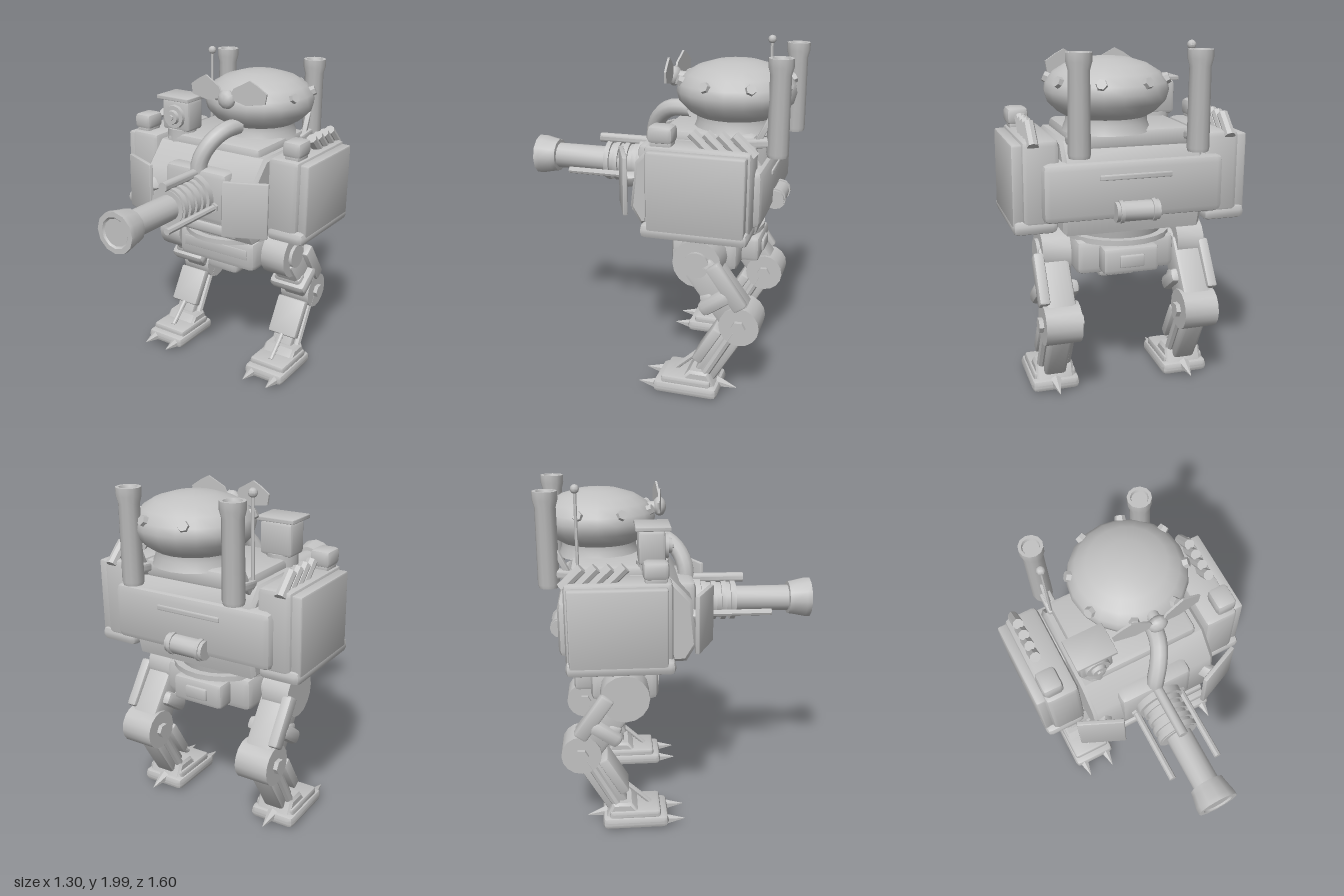
import * as THREE from 'three';
import { toCreasedNormals } from 'three/addons/utils/BufferGeometryUtils.js';
import { RoundedBoxGeometry } from 'three/addons/geometries/RoundedBoxGeometry.js';

const steel = new THREE.MeshStandardMaterial({ color: 0xc2c2c2 });
steel.name = 'steel';
const UP = new THREE.Vector3(0, 1, 0);
const V = (p) => new THREE.Vector3(...p);

function add(parent, name, geo, pos = [0, 0, 0], rot = [0, 0, 0]) {
  const m = new THREE.Mesh(toCreasedNormals(geo, 0.7), steel);
  m.name = name;
  m.position.set(...pos);
  m.rotation.set(...rot);
  parent.add(m);
  return m;
}
// Chamfered box given by its limits on each axis
function box(parent, name, [x0, x1], [y0, y1], [z0, z1], c = 0.02) {
  const w = Math.abs(x1 - x0), h = y1 - y0, d = z1 - z0;
  return add(parent, name, new RoundedBoxGeometry(w, h, d, 1, Math.min(c, w / 2.1, h / 2.1, d / 2.1)),
    [(x0 + x1) / 2, (y0 + y1) / 2, (z0 + z1) / 2]);
}
function along(mesh, a, b) {
  mesh.position.copy(V(a)).add(V(b)).multiplyScalar(0.5);
  mesh.quaternion.setFromUnitVectors(UP, V(b).sub(V(a)).normalize());
  return mesh;
}
// Cylinder or cone from a (radius ra) to b (radius rb)
function rod(parent, name, a, b, ra, rb = ra, n = 12) {
  return along(add(parent, name, new THREE.CylinderGeometry(rb, ra, V(a).distanceTo(V(b)), n)), a, b);
}
// Chamfered beam from a to b
function beam(parent, name, a, b, w, d, c = 0.015) {
  return along(add(parent, name, new RoundedBoxGeometry(w, V(a).distanceTo(V(b)), d, 1, c)), a, b);
}
// Side profile of [z, y] points, extruded across x
function profile(parent, name, pts, halfWidth, bevel = 0.02) {
  const geo = new THREE.ExtrudeGeometry(new THREE.Shape(pts.map(([z, y]) => new THREE.Vector2(-z, y))), {
    depth: 2 * (halfWidth - bevel), bevelSize: bevel, bevelOffset: -bevel, bevelThickness: bevel, bevelSegments: 1,
  });
  geo.translate(0, 0, bevel - halfWidth).rotateY(Math.PI / 2);
  return add(parent, name, geo);
}

function buildTorso(g) {
  profile(g, 'hull', [[-0.64, 1.0], [0.02, 1.0], [0.08, 1.1], [0.05, 1.36], [-0.08, 1.5], [-0.58, 1.5], [-0.66, 1.4], [-0.66, 1.08]], 0.385);
  box(g, 'rearHull', [-0.5, 0.5], [1.08, 1.4], [-0.69, -0.3], 0.04);
  box(g, 'upperDeck', [-0.335, 0.335], [1.44, 1.55], [-0.62, -0.08], 0.03);
  box(g, 'rearHatch', [-0.2, 0.2], [1.3, 1.33], [-0.7, -0.66], 0.008);
  box(g, 'frontBumper', [-0.3, 0.3], [1.04, 1.1], [0.03, 0.1], 0.015);
  rod(g, 'rearCanister', [-0.12, 1.13, -0.7], [0.12, 1.13, -0.7], 0.055);
  for (const s of [-1, 1]) rod(g, 'canisterCap', [s * 0.08, 1.13, -0.7], [s * 0.1, 1.13, -0.7], 0.062);

  for (const s of [-1, 1]) {
    // Side pods
    const pod = new THREE.Group();
    pod.name = s > 0 ? 'leftPod' : 'rightPod';
    g.add(pod);
    box(pod, 'podBase', [s * 0.41, s * 0.65], [1.02, 1.1], [-0.65, -0.06], 0.03);
    box(pod, 'podBody', [s * 0.4, s * 0.6], [1.06, 1.52], [-0.65, -0.07], 0.03);
    box(pod, 'podPlate', [s * 0.58, s * 0.65], [1.06, 1.5], [-0.63, -0.1], 0.012);
    box(pod, 'podBox', [s * 0.475, s * 0.595], [1.53, 1.625], [-0.23, -0.09], 0.025);
    box(pod, 'podBoxNeck', [s * 0.49, s * 0.58], [1.5, 1.55], [-0.22, -0.1], 0.01);
    for (let i = 0; i < 4; i++) {
      const z = -0.32 - i * 0.075;
      rod(pod, 'exhaustTube', [s * 0.54, 1.49, z - 0.11], [s * 0.54, 1.595, z], 0.031, 0.031, 8);
    }
    // Angled gun shields on arms
    add(g, 'gunShield', new RoundedBoxGeometry(0.265, 0.335, 0.028, 1, 0.008), [s * 0.375, 1.25, 0.12], [0, s * 0.42, 0]);
    beam(g, 'shieldArm', [s * 0.28, 1.25, -0.02], [s * 0.36, 1.25, 0.11], 0.06, 0.08);
    // Smoke stacks
    const stack = [[0, 1.44], [0.055, 1.44], [0.06, 1.46], [0.057, 1.88], [0.068, 1.92], [0.068, 1.965], [0.05, 1.965], [0.045, 1.95], [0, 1.95]];
    add(g, 'smokeStack', new THREE.LatheGeometry(stack.map(([r, y]) => new THREE.Vector2(r, y)), 12), [s * 0.32, 0, -0.735]);
    beam(g, 'stackBracket', [s * 0.32, 1.52, -0.72], [s * 0.32, 1.5, -0.56], 0.07, 0.05);
    beam(g, 'stackBrace', [s * 0.32, 1.66, -0.7], [s * 0.33, 1.46, -0.6], 0.03, 0.03, 0.005);
  }
  // Antenna
  rod(g, 'antennaRod', [-0.335, 1.5, -0.575], [-0.335, 1.97, -0.575], 0.009, 0.009, 6);
  add(g, 'antennaTip', new THREE.SphereGeometry(0.025, 10, 8), [-0.335, 1.975, -0.575]);
}

function buildDome(g) {
  const dome = new THREE.Group();
  dome.name = 'dome';
  dome.position.set(0.1, 0, -0.46);
  g.add(dome);
  const shell = [[0, 1.53], [0.24, 1.53], [0.22, 1.58], [0.22, 1.61], [0.27, 1.64], [0.32, 1.69], [0.335, 1.745], [0.325, 1.79], [0.285, 1.84], [0.22, 1.88], [0.12, 1.91], [0, 1.922]];
  add(dome, 'domeShell', new THREE.LatheGeometry(shell.map(([r, y]) => new THREE.Vector2(r, y)), 20));
  for (let i = 0; i < 8; i++) {
    const a = (i + 0.45) * Math.PI / 4;
    const c = Math.cos(a), s = Math.sin(a);
    rod(dome, 'domeBolt', [0.28 * c, 1.785, 0.28 * s], [0.335 * c, 1.81, 0.335 * s], 0.036, 0.028, 6);
  }
  // Propeller on the dome front
  const prop = new THREE.Group();
  prop.name = 'propeller';
  prop.position.set(0.095, 1.805, -0.1);
  g.add(prop);
  rod(prop, 'propellerShaft', [0, -0.01, -0.1], [0, 0, 0.01], 0.035);
  add(prop, 'propellerHub', new THREE.SphereGeometry(0.057, 10, 8), [0, 0, 0], [Math.PI / 2, 0, 0]).scale.y = 0.7;
  for (const s of [-1, 1]) {
    const pts = [[0.02, 0.01], [0.05, 0.07], [0.15, 0.125], [0.2, 0.1], [0.26, 0.06], [0.25, 0], [0.13, -0.02]].map(([x, y]) => new THREE.Vector2(s * x, y));
    const blade = new THREE.ExtrudeGeometry(new THREE.Shape(pts), { depth: 0.012, bevelEnabled: false });
    add(prop, 'propellerBlade', blade, [0, 0, 0], [0, s * 0.1, 0]);
  }
  // Bent feed pipe
  const path = new THREE.CatmullRomCurve3([[0.11, 1.63, -0.2], [0.09, 1.62, -0.08], [0.05, 1.56, 0.0], [0.01, 1.46, 0.045], [0, 1.36, 0.05]].map(V));
  add(g, 'feedPipe', new THREE.TubeGeometry(path, 12, 0.05, 10));
  // Lookout camera
  const cam = new THREE.Group();
  cam.name = 'lookoutCamera';
  cam.position.set(-0.275, 1.66, -0.165);
  g.add(cam);
  box(cam, 'cameraBody', [-0.1, 0.1], [-0.1, 0.09], [-0.08, 0.07], 0.02);
  box(cam, 'cameraRoof', [-0.118, 0.118], [0.09, 0.115], [-0.095, 0.1], 0.006);
  rod(cam, 'cameraFoot', [0, -0.17, 0], [0, -0.09, 0], 0.09);
  rod(cam, 'lensRing', [0, -0.01, 0.06], [0, -0.01, 0.09], 0.075, 0.07);
  rod(cam, 'lens', [0, -0.01, 0.09], [0, -0.01, 0.11], 0.045, 0.04);
  rod(cam, 'lensCentre', [0, -0.01, 0.11], [0, -0.01, 0.12], 0.018, 0.015, 6);
}

function buildGun(g) {
  const gun = new THREE.Group();
  gun.name = 'gun';
  gun.position.set(0, 1.255, 0);
  g.add(gun);
  box(gun, 'gunHousing', [-0.22, 0.22], [-0.155, 0.165], [-0.06, 0.09], 0.035);
  const sections = [['gunCollar', 0.08, 0.13, 0.14], ['gunSleeve', 0.12, 0.345, 0.107], ['barrel', 0.3, 0.69, 0.077]];
  for (const [name, z0, z1, r] of sections) rod(gun, name, [0, 0, z0], [0, 0, z1], r, r, 16);
  for (const z of [0.15, 0.21, 0.27, 0.325]) rod(gun, 'sleeveRing', [0, 0, z - 0.015], [0, 0, z + 0.015], 0.122, 0.122, 16);
  const muzzle = [[0, 0.66], [0.1, 0.67], [0.105, 0.7], [0.12, 0.77], [0.12, 0.8], [0.09, 0.8], [0.08, 0.79], [0, 0.79]];
  add(gun, 'muzzle', new THREE.LatheGeometry(muzzle.map(([r, y]) => new THREE.Vector2(r, y)), 12), [0, 0, 0], [Math.PI / 2, 0, 0]);
  rod(gun, 'topRod', [0, 0.135, 0.05], [0, 0.135, 0.39], 0.029, 0.029, 10);
  for (const s of [-1, 1]) {
    rod(gun, 'sideRod', [s * 0.145, -0.045, 0.05], [s * 0.145, -0.045, 0.545], 0.02, 0.02, 8);
    rod(gun, 'housingBolt', [s * 0.145, -0.045, 0.08], [s * 0.145, -0.045, 0.105], 0.03, 0.03, 6);
  }
}

function buildPelvis(g) {
  rod(g, 'waist', [0, 0.93, -0.33], [0, 1.02, -0.33], 0.255, 0.275, 24);
  rod(g, 'waistRing', [0, 0.912, -0.33], [0, 0.942, -0.33], 0.3, 0.3, 24);
  box(g, 'pelvis', [-0.285, 0.285], [0.725, 0.925], [-0.53, -0.135], 0.04);
  box(g, 'pelvisPanel', [-0.235, 0.235], [0.805, 0.87], [-0.14, -0.13], 0.003);
  box(g, 'pelvisRearBox', [-0.16, 0.16], [0.75, 0.9], [-0.63, -0.5], 0.025);
  box(g, 'pelvisRearCap', [-0.07, 0.07], [0.79, 0.86], [-0.645, -0.6], 0.01);
  box(g, 'pelvisKeel', [-0.115, 0.115], [0.64, 0.75], [-0.37, -0.21], 0.03);
}

function buildLeg(g, s) {
  const leg = new THREE.Group();
  leg.name = s > 0 ? 'leftLeg' : 'rightLeg';
  leg.position.x = s * 0.395;
  g.add(leg);
  const across = (name, y, z, x0, x1, r, n = 16) => rod(leg, name, [x0, y, z], [x1, y, z], r, r, n);
  // Hip and thigh
  across('hip', 0.825, -0.335, -0.095, 0.065, 0.14);
  across('hipAxle', 0.825, -0.335, -s * 0.18, s * 0.085, 0.075);
  beam(leg, 'thigh', [0, 0.82, -0.34], [0, 0.5, -0.58], 0.17, 0.19, 0.025);
  beam(leg, 'thighPlate', [s * 0.09, 0.84, -0.43], [s * 0.09, 0.6, -0.6], 0.06, 0.085);
  beam(leg, 'thighCollar', [0, 0.655, -0.425], [0, 0.585, -0.475], 0.255, 0.2, 0.03);
  beam(leg, 'kneeGuard', [0, 0.66, -0.39], [0, 0.56, -0.43], 0.19, 0.08, 0.02);
  // Knee
  across('knee', 0.49, -0.59, -0.1, 0.1, 0.115);
  across('kneeCap', 0.49, -0.59, -0.125, 0.125, 0.042, 6);
  // Shin and ankle piston
  beam(leg, 'shin', [0, 0.5, -0.6], [0, 0.13, -0.385], 0.13, 0.13, 0.02);
  beam(leg, 'shinPlate', [0, 0.45, -0.47], [0, 0.235, -0.345], 0.2, 0.06, 0.012);
  for (const x of [-0.075, 0.075]) rod(leg, 'shinStrut', [x, 0.47, -0.57], [x, 0.16, -0.4], 0.026, 0.026, 8);
  rod(leg, 'anklePiston', [0, 0.26, -0.35], [0, 0.12, -0.2], 0.016, 0.016, 8);
  // Foot
  box(leg, 'sole', [-0.14, 0.14], [0.015, 0.09], [-0.48, -0.095], 0.03);
  box(leg, 'instep', [-0.125, 0.125], [0.07, 0.125], [-0.44, -0.14], 0.02);
  const ankle = profile(leg, 'ankle', [[-0.46, 0.08], [-0.24, 0.08], [-0.31, 0.17], [-0.42, 0.17]], 0.11, 0.015);
  ankle.position.y = 0.0;
  for (const x of [-0.085, 0.085]) rod(leg, 'toeClaw', [x, 0.045, -0.12], [x, 0.045, 0], 0.036, 0.002, 6);
  rod(leg, 'heelClaw', [0, 0.07, -0.45], [0, 0.045, -0.57], 0.036, 0.002, 6);
}

export function createModel() {
  const model = new THREE.Group();
  model.name = 'walker';
  buildTorso(model);
  buildDome(model);
  buildGun(model);
  buildPelvis(model);
  for (const s of [-1, 1]) buildLeg(model, s);
  return model;
}
